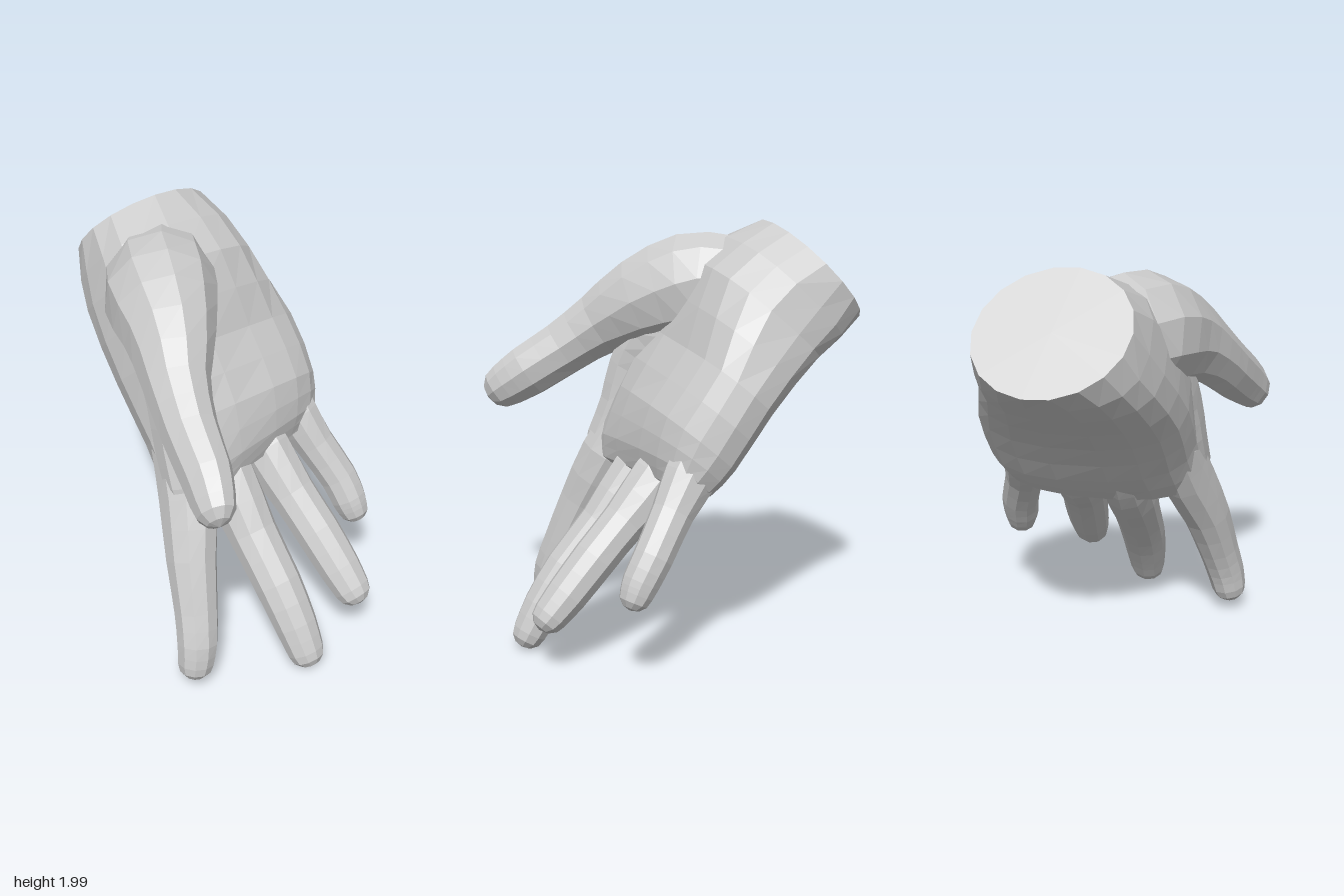
import * as THREE from 'three';

const V = (x, y, z) => new THREE.Vector3(x, y, z);
const material = new THREE.MeshStandardMaterial({ color: 0xcccccc, flatShading: true });

// Skin a list of equal-length rings, closing both ends with fans
function loft(name, rings, startPole, endPole) {
  const n = rings[0].length, pos = [], idx = [];
  rings.flat().forEach(p => pos.push(p.x, p.y, p.z));
  pos.push(...startPole.toArray(), ...endPole.toArray());
  const first = rings.length * n, last = (rings.length - 1) * n;
  for (let j = 0; j < n; j++) {
    const k = (j + 1) % n;
    for (let i = 0; i < rings.length - 1; i++) {
      const a = i * n + j, b = i * n + k;
      idx.push(a, b, b + n, a, b + n, a + n);
    }
    idx.push(first, k, j, first + 1, last + j, last + k);
  }
  const g = new THREE.BufferGeometry();
  g.setAttribute('position', new THREE.Float32BufferAttribute(pos, 3));
  g.setIndex(idx);
  g.computeVertexNormals();
  const mesh = new THREE.Mesh(g, material);
  mesh.name = name;
  return mesh;
}

// Rounded limb through points [x, y, z, radius, width along z / radius]
function limb(name, pts, sides = 10, steps = 2) {
  const path = new THREE.CatmullRomCurve3(pts.map(p => V(p[0], p[1], p[2])));
  const size = new THREE.CatmullRomCurve3(pts.map((p, i) => V(p[3], p[4], i)));
  const ring = (c, t, r, flat) => {
    const side = V(0, 0, 1).addScaledVector(t, -t.z).normalize();
    const up = t.clone().cross(side);
    return Array.from({ length: sides }, (_, j) => {
      const a = (j + 0.5) / sides * Math.PI * 2;
      return c.clone().addScaledVector(side, r * flat * Math.cos(a)).addScaledVector(up, r * Math.sin(a));
    });
  };
  const rings = [], count = (pts.length - 1) * steps;
  for (let i = 0; i <= count; i++) {
    const u = i / count, s = size.getPoint(u);
    rings.push(ring(path.getPoint(u), path.getTangent(u), s.x, s.y));
  }
  // Rounded tip
  const end = path.getPoint(1), dir = path.getTangent(1), [, , , r, flat] = pts[pts.length - 1];
  for (const [f, s] of [[0.5, 0.86], [0.85, 0.52]])
    rings.push(ring(end.clone().addScaledVector(dir, f * r), dir, s * r, flat));
  return loft(name, rings, path.getPoint(0), end.clone().addScaledVector(dir, r));
}

// Palm and wrist: thumb edge, little-finger edge,
// [back depth, palm depth, palm depth on the thumb side]
function palm() {
  const stations = [
    [[-0.60, 1.79, 0.32], [-0.65, 1.75, -0.37], [0.31, 0.31, 0.31]],
    [[-0.40, 1.56, 0.40], [-0.42, 1.53, -0.43], [0.26, 0.39, 0.46]],
    [[-0.12, 1.31, 0.44], [-0.17, 1.29, -0.55], [0.24, 0.22, 0.40]],
    [[0.09, 1.08, 0.43], [0.00, 1.04, -0.56], [0.23, 0.22, 0.25]],
    [[0.25, 0.88, 0.43], [0.08, 0.92, -0.53], [0.20, 0.14, 0.16]],
    [[0.30, 0.81, 0.40], [0.12, 0.86, -0.49], [0.13, 0.06, 0.09]],
  ];
  const curve = k => new THREE.CatmullRomCurve3(stations.map(s => V(...s[k])));
  const thumbEdge = curve(0), littleEdge = curve(1), depth = curve(2);
  const rings = [], mids = [], n = 18, count = 10;
  for (let i = 0; i <= count; i++) {
    const u = i / count, L = thumbEdge.getPoint(u), R = littleEdge.getPoint(u), d = depth.getPoint(u);
    const normal = V(0.75, 0.66, 0).lerp(V(0.67, 0.74, 0), Math.max(0, 1 - u * 5));
    const power = u === 0 ? 1 : 0.8;
    mids.push(L.clone().lerp(R, 0.5));
    rings.push(Array.from({ length: n }, (_, j) => {
      const a = j / n * Math.PI * 2, c = Math.cos(a), s = Math.sin(a);
      const across = (1 + Math.sign(c) * Math.abs(c) ** power) / 2;
      const palmDepth = THREE.MathUtils.lerp(d.y, d.z, across ** 3);
      const out = -Math.sign(s) * Math.abs(s) ** power * (s > 0 ? d.x : palmDepth);
      return R.clone().lerp(L, across).addScaledVector(normal, out);
    }));
  }
  return loft('palm', rings, mids[0], mids[count]);
}

export function createModel() {
  const hand = new THREE.Group();
  hand.name = 'hand';
  hand.add(palm());

  // Thumb with its muscular base
  hand.add(limb('thumb', [
    [-0.50, 1.70, 0.00, 0.18, 0.9], [-0.31, 1.68, 0.09, 0.245, 0.95], [-0.11, 1.66, 0.22, 0.27, 0.95],
    [0.10, 1.59, 0.32, 0.22, 0.92], [0.28, 1.48, 0.415, 0.16, 0.92], [0.45, 1.36, 0.475, 0.138, 0.9],
    [0.62, 1.25, 0.515, 0.132, 0.85], [0.72, 1.18, 0.55, 0.115, 0.83]]));

  // Skin between thumb and index finger
  hand.add(limb('thumbWeb', [
    [-0.10, 1.50, 0.20, 0.20, 0.9], [0.04, 1.39, 0.29, 0.17, 0.8], [0.12, 1.26, 0.33, 0.145, 0.75],
    [0.18, 1.09, 0.345, 0.125, 0.85], [0.26, 0.92, 0.36, 0.11, 0.9]]));

  // Fingers, rooted inside the palm
  hand.add(limb('indexFinger', [
    [0.13, 1.05, 0.32, 0.14, 0.8], [0.255, 0.845, 0.35, 0.148, 0.88], [0.38, 0.60, 0.42, 0.116, 1.02],
    [0.475, 0.38, 0.465, 0.098, 1.05], [0.525, 0.24, 0.495, 0.092, 1.05], [0.54, 0.14, 0.515, 0.083, 1.05]]));
  hand.add(limb('middleFinger', [
    [0.04, 0.95, 0.08, 0.13, 0.9], [0.18, 0.80, 0.07, 0.15, 0.85], [0.37, 0.58, 0.06, 0.113, 1.06],
    [0.545, 0.385, 0.045, 0.105, 1.1], [0.67, 0.21, 0.03, 0.095, 1.1], [0.74, 0.09, 0.02, 0.082, 1.1]]));
  hand.add(limb('ringFinger', [
    [0.02, 0.98, -0.15, 0.13, 0.9], [0.155, 0.835, -0.175, 0.145, 0.85], [0.33, 0.67, -0.21, 0.107, 1.06],
    [0.48, 0.52, -0.245, 0.102, 1.1], [0.62, 0.37, -0.275, 0.095, 1.1], [0.70, 0.285, -0.29, 0.083, 1.1]]));
  hand.add(limb('littleFinger', [
    [-0.01, 1.06, -0.39, 0.12, 0.9], [0.085, 0.91, -0.42, 0.125, 0.88], [0.18, 0.77, -0.47, 0.098, 1],
    [0.29, 0.60, -0.54, 0.09, 1.05], [0.35, 0.50, -0.56, 0.085, 1.05], [0.375, 0.45, -0.57, 0.076, 1.05]]));
  return hand;
}
